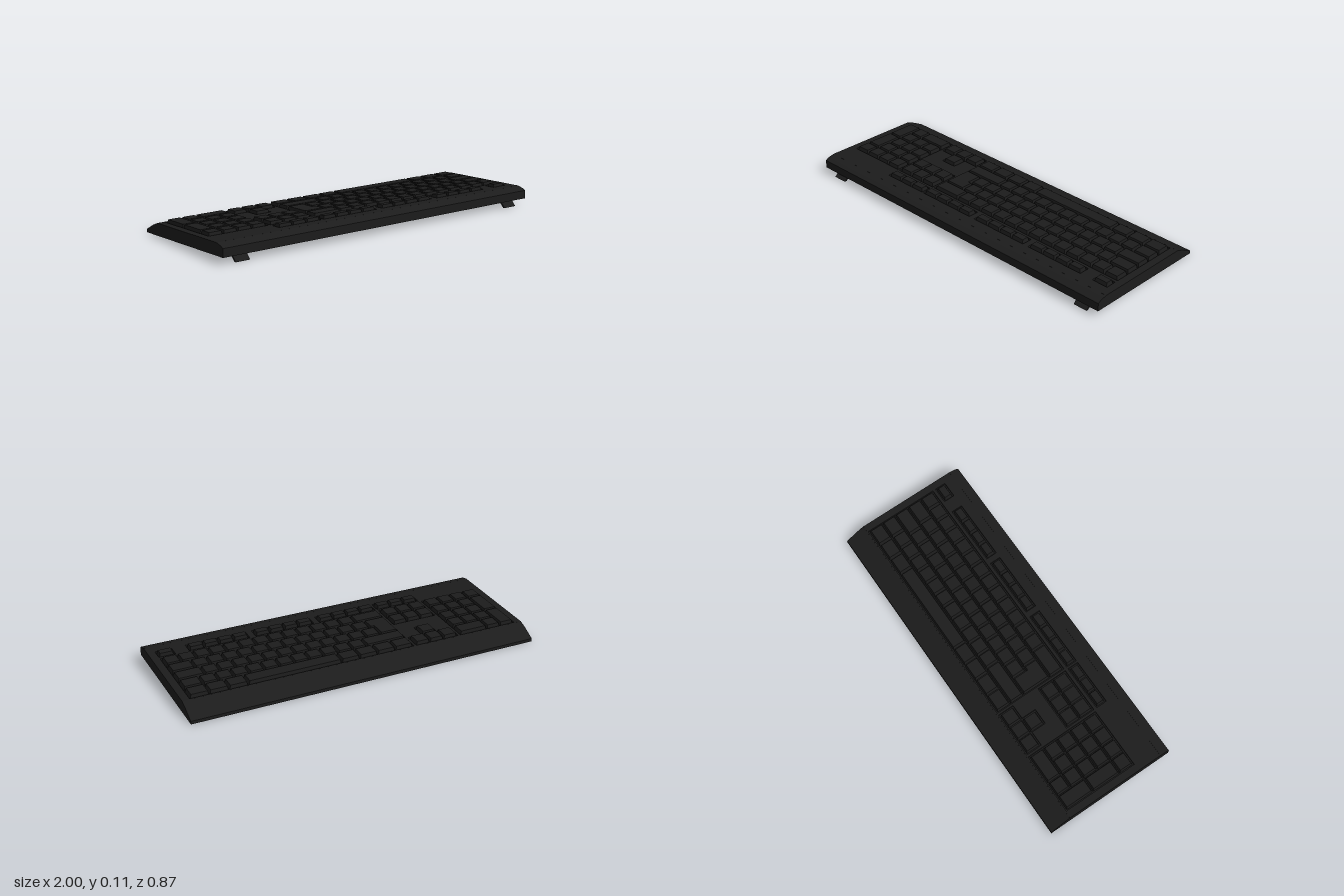
import * as THREE from 'three';
import { toCreasedNormals } from 'three/addons/utils/BufferGeometryUtils.js';

const U = 0.0829;          // one key unit
const HALF = 0.977;        // half the length of the case
const TILT = 0.044;        // slope of the deck
const WELL = 0.012;        // depth of the key wells
const KEY_TOP = 0.0135;    // key height above the deck
const MAIN = 0.932, NAV = -0.332, PAD = -0.602; // +x edge of each key block
const ROW0 = 0.17;         // +z edge of the number row

const plastic = new THREE.MeshStandardMaterial({ color: 0x1c1c1c });
plastic.name = 'blackPlastic';

function mesh(name, geometry) {
  const m = new THREE.Mesh(geometry, plastic);
  m.name = name;
  return m;
}

// Key cap: a box whose top is drawn in; x1 is its +x edge, z1 its +z edge
function key(x1, z1, w, d) {
  const h = KEY_TOP + WELL;
  const g = new THREE.BoxGeometry(w - 0.005, h, d - 0.005);
  const p = g.attributes.position;
  for (let i = 0; i < p.count; i++) {
    if (p.getY(i) > 0) {
      p.setX(i, p.getX(i) - Math.sign(p.getX(i)) * 0.006);
      p.setZ(i, p.getZ(i) - Math.sign(p.getZ(i)) * 0.006);
    }
  }
  const flat = g.toNonIndexed();
  flat.computeVertexNormals();
  flat.translate(x1 - w / 2, h / 2 - WELL, z1 - d / 2);
  return mesh('key', flat);
}

// Row of keys running from +x to -x; negative widths are gaps
function row(group, x1, z1, widths, d = U) {
  let x = x1;
  for (const w of widths) {
    if (w > 0) group.add(key(x, z1, w * U, d));
    x -= Math.abs(w) * U;
  }
}

const ones = (n) => Array(n).fill(1);
const rowZ = (r) => ROW0 - r * U;

function polygon(points, Type = THREE.Shape) {
  return new Type(points.map(([x, y]) => new THREE.Vector2(x, y)));
}

// Rectangle given by x and z ranges, as a hole in the deck
function well(x0, x1, z0, z1) {
  const m = 0.004;
  return polygon([[x0 - m, -z0 + m], [x1 + m, -z0 + m], [x1 + m, -z1 - m], [x0 - m, -z1 - m]], THREE.Path);
}

export function createModel() {
  const root = new THREE.Group();
  root.name = 'keyboard';
  const board = new THREE.Group();
  board.name = 'board';
  board.rotation.y = 0.0694;
  root.add(board);

  // Case: side profile extruded along the length
  const profile = polygon([
    [-0.366, 0], [0.366, 0.034], [0.366, 0.079], [0.35, 0.088], [0.31, 0.0961],
    [0.31, 0.0841], [-0.255, 0.0593], [-0.255, 0.0713], [-0.30, 0.053], [-0.366, 0.017],
  ]);
  const caseGeo = new THREE.ExtrudeGeometry(profile, { depth: HALF * 2, bevelEnabled: false });
  caseGeo.rotateY(-Math.PI / 2).translate(HALF, 0, 0);
  board.add(mesh('case', toCreasedNormals(caseGeo, 0.5)));

  // Sloping top that carries the deck and the keys
  const top = new THREE.Group();
  top.name = 'top';
  top.position.y = 0.0825;
  top.rotation.x = -TILT;
  board.add(top);

  // Deck with a well for each key block
  const bottom = rowZ(5), shortZ1 = 0.249, shortZ0 = 0.195;
  const shortGroups = [[MAIN, 1], [MAIN - 2 * U, 4], [MAIN - 6.5 * U, 4], [MAIN - 11 * U, 4], [NAV, 3]];
  const deck = polygon([[-HALF, -0.31], [HALF, -0.31], [HALF, 0.255], [-HALF, 0.255]]);
  deck.holes.push(
    well(MAIN - 15 * U, MAIN, bottom, ROW0),
    well(NAV - 3 * U, NAV, rowZ(2), ROW0),
    well(PAD - 4 * U, PAD, bottom, ROW0),
    ...shortGroups.map(([x, n]) => well(x - n * U, x, shortZ0, shortZ1)),
    // Arrow keys share a T-shaped well
    polygon([
      [NAV - 3 * U - 0.004, -bottom + 0.004], [NAV + 0.004, -bottom + 0.004], [NAV + 0.004, -rowZ(4) - 0.004],
      [NAV - U + 0.004, -rowZ(4) - 0.004], [NAV - U + 0.004, -rowZ(3) - 0.004],
      [NAV - 2 * U - 0.004, -rowZ(3) - 0.004], [NAV - 2 * U - 0.004, -rowZ(4) - 0.004],
      [NAV - 3 * U - 0.004, -rowZ(4) - 0.004],
    ], THREE.Path),
  );
  const deckGeo = new THREE.ExtrudeGeometry(deck, { depth: WELL, bevelEnabled: false });
  deckGeo.rotateX(-Math.PI / 2).translate(0, -WELL, 0);
  top.add(mesh('deck', deckGeo));

  const block = (name) => {
    const g = new THREE.Group();
    g.name = name;
    top.add(g);
    return g;
  };

  // Main typing keys
  const main = block('mainKeys');
  [
    [...ones(13), 2],
    [1.5, ...ones(12), -1.5],
    [1.75, ...ones(12), -1.25],
    [1.25, ...ones(11), 2.75],
    [1.25, 1.25, 1.25, 6.25, 1.25, 1.25, 1.25, 1.25],
  ].forEach((widths, r) => row(main, MAIN, rowZ(r), widths));
  // Tall enter key with a wider upper half
  main.add(key(MAIN - 13.5 * U, rowZ(1), 1.5 * U, U));
  main.add(key(MAIN - 13.75 * U, rowZ(1), 1.25 * U, 2 * U));

  // Short keys along the front edge
  const shortKeys = block('shortKeys');
  for (const [x, n] of shortGroups) row(shortKeys, x, shortZ1, ones(n), shortZ1 - shortZ0);

  // Navigation and arrow keys
  const navigation = block('navigationKeys');
  row(navigation, NAV, rowZ(0), ones(3));
  row(navigation, NAV, rowZ(1), ones(3));
  row(navigation, NAV, rowZ(3), [-1, 1]);
  row(navigation, NAV, rowZ(4), ones(3));

  // Number pad with two tall keys on the outer side
  const pad = block('numberPad');
  row(pad, PAD, rowZ(0), ones(4));
  for (const r of [1, 2, 3]) row(pad, PAD, rowZ(r), ones(3));
  row(pad, PAD, rowZ(4), [2, 1]);
  for (const r of [1, 3]) pad.add(key(PAD - 3 * U, rowZ(r), U, 2 * U));

  // Fold-out feet
  const footProfile = polygon([[0.352, 0], [0.364, 0], [0.332, 0.034], [0.316, 0.034]]);
  for (const side of [-1, 1]) {
    const g = new THREE.ExtrudeGeometry(footProfile, { depth: 0.08, bevelEnabled: false });
    g.rotateY(-Math.PI / 2).translate(0.04 + side * 0.867, 0, 0);
    board.add(mesh(side > 0 ? 'leftFoot' : 'rightFoot', g));
  }
  return root;
}
